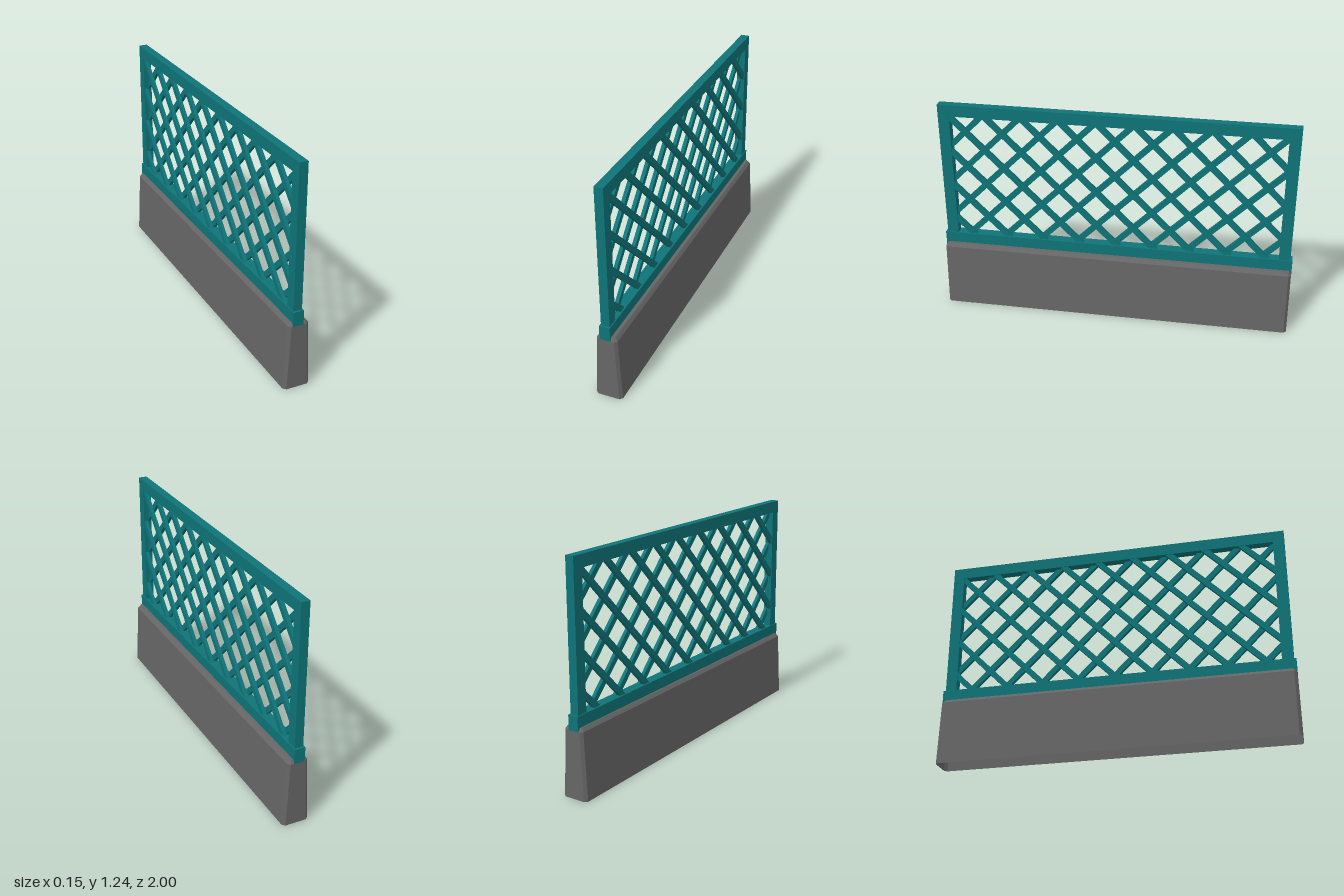
import * as THREE from 'three';

const teal = new THREE.MeshStandardMaterial({ color: 0x0e7478 });
teal.name = 'teal paint';
const concrete = new THREE.MeshStandardMaterial({ color: 0x666666, side: THREE.DoubleSide, flatShading: true });
concrete.name = 'grey concrete';

const MID = -0.006; // x of the trellis plane
const OPEN = { z: 0.924, bottom: 0.447, top: 1.175 }; // opening of the frame

function box(parent, name, size, position) {
  const mesh = new THREE.Mesh(new THREE.BoxGeometry(...size), teal);
  mesh.name = name;
  mesh.position.set(...position);
  parent.add(mesh);
  return mesh;
}

// Octagonal ring: half sizes w (x) and l (z) with corners cut by c
function ring(y, w, l, c) {
  return [[w, l - c], [w, c - l], [w - c, -l], [c - w, -l], [-w, c - l], [-w, l - c], [c - w, l], [w - c, l]]
    .map(([x, z]) => [x, y, z]);
}

// Tapered hollow base with bevelled top, open underneath
function makeBase() {
  const rings = [ring(0, 0.075, 1, 0.015), ring(0.366, 0.057, 0.998, 0.014), ring(0.385, 0.042, 0.985, 0.008)];
  const points = [];
  for (let r = 0; r < 2; r++) {
    for (let i = 0; i < 8; i++) {
      const j = (i + 1) % 8;
      const [a, b, c, d] = [rings[r][i], rings[r][j], rings[r + 1][j], rings[r + 1][i]];
      points.push(...a, ...b, ...c, ...a, ...c, ...d);
    }
  }
  const top = rings[2];
  for (let i = 1; i < 7; i++) points.push(...top[0], ...top[i], ...top[i + 1]);
  const geometry = new THREE.BufferGeometry();
  geometry.setAttribute('position', new THREE.Float32BufferAttribute(points, 3));
  geometry.computeVertexNormals();
  const mesh = new THREE.Mesh(geometry, concrete);
  mesh.name = 'base';
  return mesh;
}

// Two layers of diagonal slats, clipped to the opening
function makeLattice() {
  const lattice = new THREE.Group();
  lattice.name = 'lattice';
  const pitch = 0.21, crossing = 1.084;
  for (const slope of [1, -1]) {
    for (let k = -8; k <= 5; k++) {
      // slat line: y = offset + slope * z
      const offset = crossing + k * pitch;
      const ends = [(OPEN.bottom - offset) * slope, (OPEN.top - offset) * slope].sort((a, b) => a - b);
      const z0 = Math.max(-OPEN.z, ends[0]), z1 = Math.min(OPEN.z, ends[1]);
      if (z1 - z0 < 0.04) continue;
      const z = (z0 + z1) / 2;
      const length = (z1 - z0) * Math.SQRT2 + 0.03;
      const slat = box(lattice, 'slat', [0.02, 0.032, length], [MID + slope * 0.0105, offset + slope * z, z]);
      slat.rotation.x = -slope * Math.PI / 4;
    }
  }
  return lattice;
}

export function createModel() {
  const model = new THREE.Group();
  model.name = 'trellisBarrier';
  model.add(makeBase());

  // Frame around the opening
  const frame = new THREE.Group();
  frame.name = 'frame';
  box(frame, 'bottomRail', [0.059, 0.082, 1.998], [MID, 0.406, 0]);
  box(frame, 'topRail', [0.048, 0.066, 1.974], [MID, 1.208, 0]);
  for (const side of [1, -1]) {
    box(frame, 'post', [0.048, 0.728, 0.063], [MID, 0.811, side * 0.9555]);
  }
  model.add(frame, makeLattice());
  return model;
}
